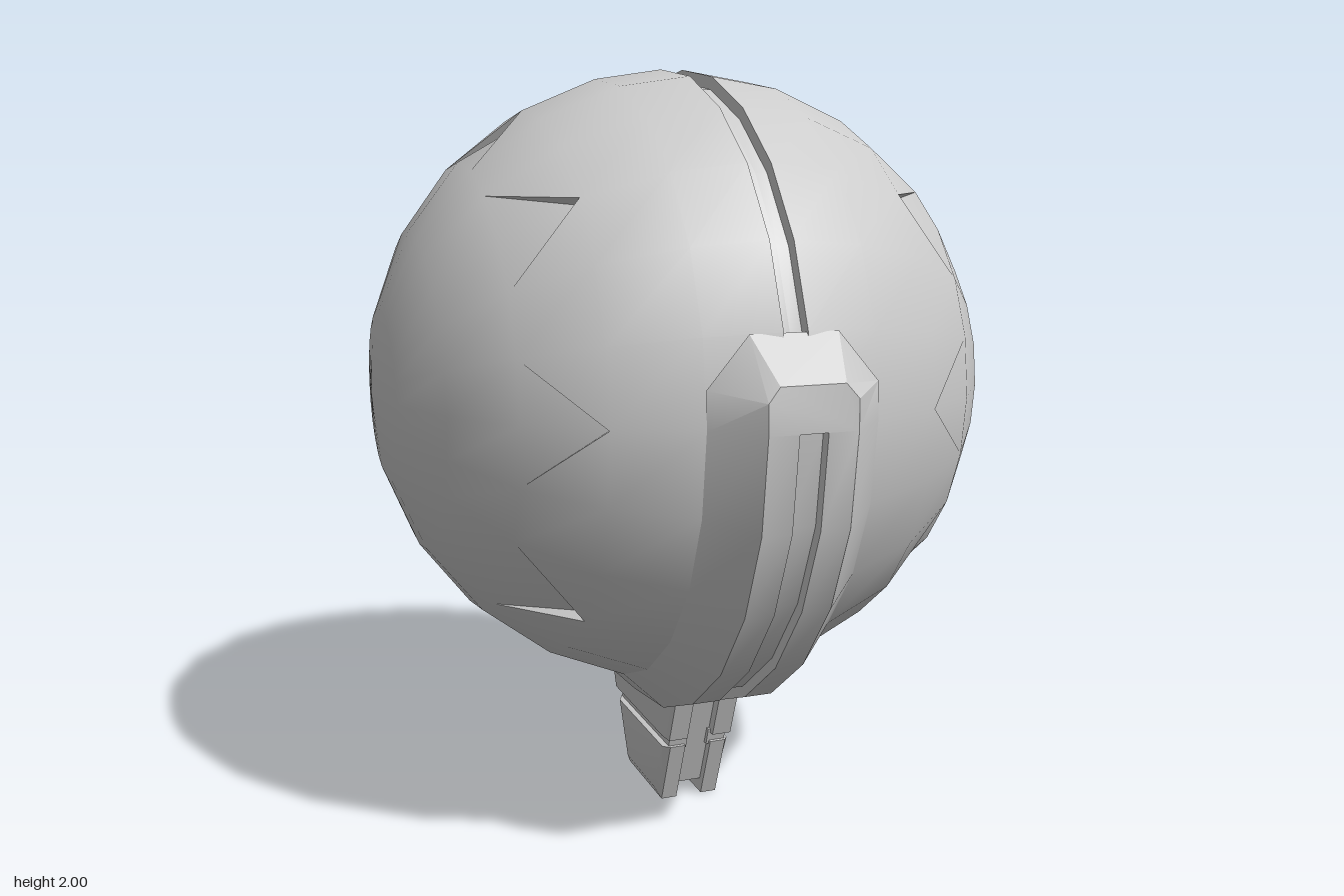
import * as THREE from 'three';
import { toCreasedNormals } from 'three/addons/utils/BufferGeometryUtils.js';

const CY = 1.178, R = 0.823, COLS = 24, STEP = Math.PI / 12;
const material = new THREE.MeshStandardMaterial({ color: 0xcccccc });

// Collects polygons (counter-clockwise corners) into one creased mesh
class Builder {
  constructor() { this.p = []; }
  face(...c) {
    for (let i = 1; i < c.length - 1; i++) this.p.push(...c[0], ...c[i], ...c[i + 1]);
  }
  mesh(name) {
    const g = new THREE.BufferGeometry();
    g.setAttribute('position', new THREE.Float32BufferAttribute(this.p, 3));
    const m = new THREE.Mesh(toCreasedNormals(g, 0.5), material);
    m.name = name;
    return m;
  }
}

// Point at offset x, radius r and angle a about the ball's sideways axis
const polar = (x, r, a) => [x, CY + r * Math.sin(a), r * Math.cos(a)];

// Each half or side part is repeated by a half turn about y
function pair(group, mesh, nameA, nameB) {
  const other = mesh.clone();
  mesh.name = nameA;
  other.name = nameB;
  other.rotation.y = Math.PI;
  group.add(mesh, other);
}

// Half ball with eight pressed-in triangular dents and half of the seam groove
function halfBall() {
  const b = new Builder();
  const rows = [];
  for (let i = 0; i < 6; i++) rows.push([R * Math.cos(i * STEP), R * Math.sin(i * STEP)]);
  rows.push([0.03, R], [0.03, 0.79], [0, 0.79]);
  const at = (i, j, k = 1) => polar(rows[i][0] * k, rows[i][1] * k, (j % COLS) * STEP);
  for (let i = 0; i < rows.length - 1; i++) {
    for (let j = 0; j < COLS; j++) {
      const in0 = at(i, j), in1 = at(i, j + 1), out0 = at(i + 1, j), out1 = at(i + 1, j + 1);
      if (i === 0) b.face(in0, out1, out0);
      else if (i === 3 && j % 3 === 0) {
        const low = at(4, j, 0.963);
        b.face(in1, low, in0);
        b.face(in1, out1, out0);
        b.face(in1, out0, low);
      } else if (i === 3 && j % 3 === 2) {
        const low = at(4, j + 1, 0.963);
        b.face(in1, low, in0);
        b.face(out1, out0, in0);
        b.face(out1, in0, low);
      } else b.face(in1, out1, out0, in0);
    }
  }
  return b.mesh('halfBall');
}

// Front half of the raised lower rail, with a slot and a chamfered upper end
function halfRail() {
  const b = new Builder();
  const W = 0.11, S = 0.035, OUT = 0.898, IN = 0.87, BASE = [0.213, 0.795];
  const half = [BASE, [W, OUT], [S, OUT], [S, IN]];
  const section = [...half, ...half.map(([x, r]) => [-x, r]).reverse()];
  for (let s = 0; s < 6; s++) {
    const a0 = -s * STEP, a1 = a0 - STEP;
    for (let k = 0; k < section.length - 1; k++) {
      const [x0, r0] = section[k], [x1, r1] = section[k + 1];
      b.face(polar(x0, r0, a0), polar(x1, r1, a0), polar(x1, r1, a1), polar(x0, r0, a1));
    }
  }
  // Upper end: flat plate, side walls, slot end, slope and two corners
  const base = m => polar(m * BASE[0], BASE[1], 0.115);
  const side = m => [m * W, 1.25, 0.896];
  const tip = m => [m * 0.08, 1.285, 0.89];
  const top = m => polar(m * W, 0.815, STEP);
  b.face(polar(W, OUT, 0), side(1), tip(1), tip(-1), side(-1), polar(-W, OUT, 0));
  b.face(base(1), side(1), polar(W, OUT, 0), polar(BASE[0], BASE[1], 0));
  b.face(side(-1), base(-1), polar(-BASE[0], BASE[1], 0), polar(-W, OUT, 0));
  b.face(polar(S, OUT, 0), polar(-S, OUT, 0), polar(-S, IN, 0), polar(S, IN, 0));
  b.face(top(1), top(-1), tip(-1), tip(1));
  b.face(base(1), top(1), tip(1), side(1));
  b.face(top(-1), base(-1), side(-1), tip(-1));
  return b.mesh('halfRail');
}

// Tapered plate from x0 to x1 whose outer rim is chamfered
function plate(x0, x1, y0, y1, zLow, zHigh, cx = 0, cz = 0, cLow = 0, cHigh = 0) {
  const b = new Builder();
  const ring = (x, i) => {
    const yl = y0 + i * cLow, yh = y1 - i * cHigh, zl = zLow - i * cz, zh = zHigh - i * cz;
    return [[x, yl, zl], [x, yl, -zl], [x, yh, -zh], [x, yh, zh]];
  };
  const rings = [ring(x0, 0), ring(x1 - cx, 0)];
  if (cx) rings.push(ring(x1, 1));
  for (let i = 0; i < rings.length - 1; i++) {
    for (let k = 0; k < 4; k++) {
      const n = (k + 1) % 4;
      b.face(rings[i][k], rings[i][n], rings[i + 1][n], rings[i + 1][k]);
    }
  }
  b.face(...rings[0].slice().reverse());
  b.face(...rings[rings.length - 1]);
  return b.mesh('plate');
}

export function createModel() {
  const model = new THREE.Group();
  model.name = 'slottedBall';

  const ball = new THREE.Group();
  ball.name = 'ball';
  pair(ball, halfBall(), 'leftHalfBall', 'rightHalfBall');

  const rail = new THREE.Group();
  rail.name = 'rail';
  pair(rail, halfRail(), 'frontRail', 'backRail');

  // Foot: recessed core, with stacked cheeks on either side of a slot
  const foot = new THREE.Group();
  foot.name = 'foot';
  const core = plate(-0.037, 0.037, 0.04, 0.35, 0.13, 0.25);
  core.name = 'footCore';
  foot.add(core);
  pair(foot, plate(0.037, 0.102, 0.208, 0.36, 0.225, 0.285, 0.012, 0.025, 0.008), 'leftUpperCheek', 'rightUpperCheek');
  pair(foot, plate(0.03, 0.082, 0.17, 0.22, 0.195, 0.212), 'leftNeck', 'rightNeck');
  pair(foot, plate(0.037, 0.096, 0, 0.182, 0.138, 0.21, 0.015, 0.025, 0.03, 0.004), 'leftLowerCheek', 'rightLowerCheek');

  model.add(ball, rail, foot);
  return model;
}
